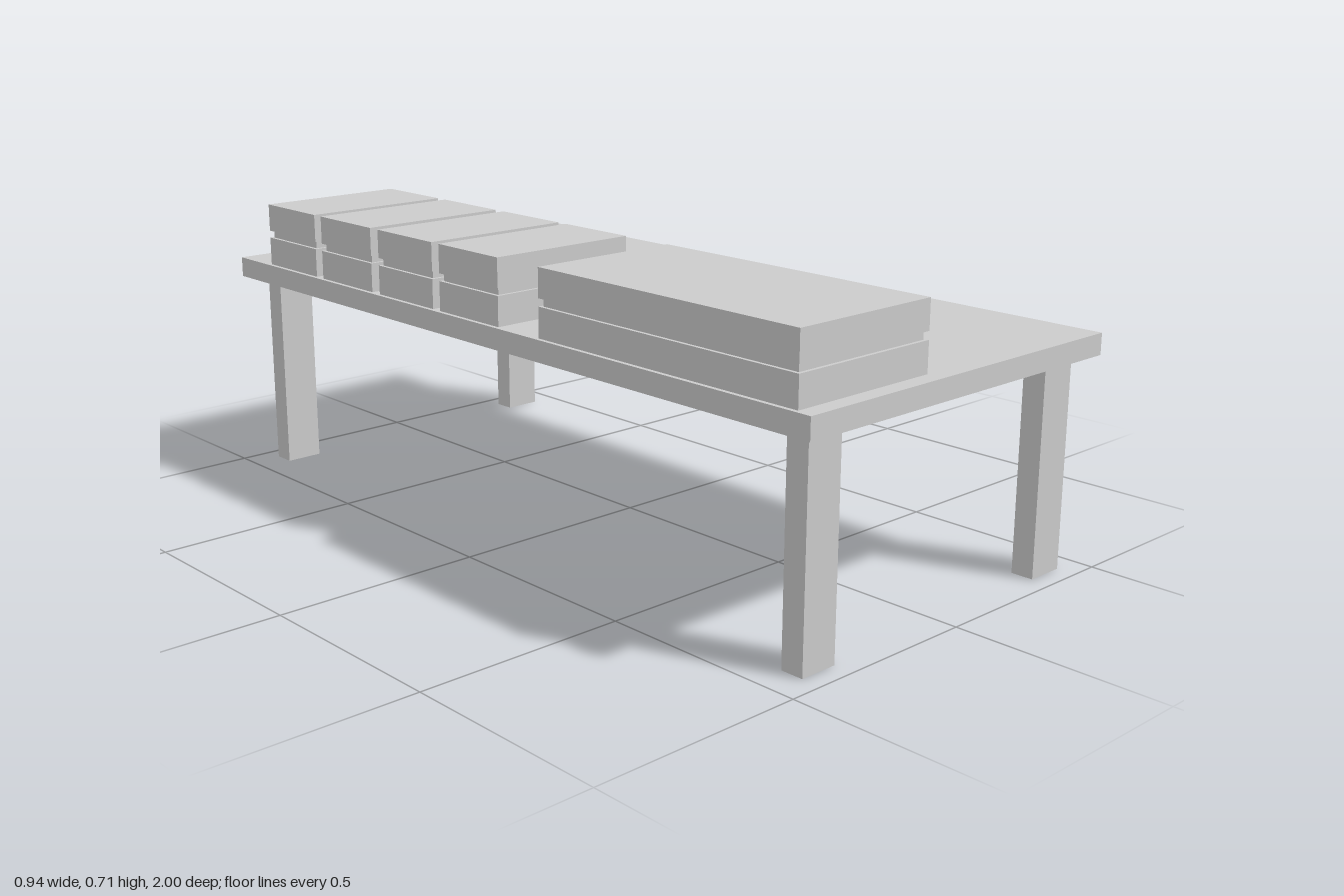
import * as THREE from 'three';

const material = new THREE.MeshStandardMaterial({ color: 0xcccccc });

// Box given by its extents on each axis
function box(name, [x0, x1], [y0, y1], [z0, z1]) {
  const mesh = new THREE.Mesh(new THREE.BoxGeometry(x1 - x0, y1 - y0, z1 - z0), material);
  mesh.position.set((x0 + x1) / 2, (y0 + y1) / 2, (z0 + z1) / 2);
  mesh.name = name;
  return mesh;
}

// Case with base, recessed seam, lid and a round knob on its +x side
function lidCase(name, z0, z1, knobZ, knobRadius) {
  const group = new THREE.Group();
  group.name = name;
  const x0 = -0.462, x1 = -0.083, inset = 0.008;
  group.add(box('caseBase', [x0, x1], [0.55, 0.62], [z0, z1]));
  group.add(box('caseSeam', [x0 + inset, x1 - inset], [0.62, 0.638], [z0 + inset, z1 - inset]));
  group.add(box('caseLid', [x0, x1], [0.638, 0.706], [z0, z1]));
  const knob = new THREE.Mesh(new THREE.SphereGeometry(knobRadius, 32, 20), material);
  knob.name = 'knob';
  knob.position.set(-0.081, 0.668, knobZ);
  group.add(knob);
  return group;
}

export function createModel() {
  const model = new THREE.Group();
  model.name = 'tableWithCases';

  // Table
  model.add(box('tableTop', [-0.472, 0.472], [0.5, 0.55], [-1, 1]));
  for (const x of [[-0.422, -0.328], [0.337, 0.433]]) {
    for (const z of [[-0.953, -0.898], [0.898, 0.953]]) model.add(box('tableLeg', x, [0, 0.5], z));
  }

  // One long case at the front, four short ones behind it
  model.add(lidCase('longCase', 0.215, 0.96, 0.886, 0.027));
  const shortCases = [[-0.138, 0.025], [-0.379, -0.208], [-0.624, -0.462], [-0.867, -0.695]];
  for (const [z, knobZ] of shortCases) model.add(lidCase('shortCase', z, z + 0.214, knobZ, 0.021));

  return model;
}
